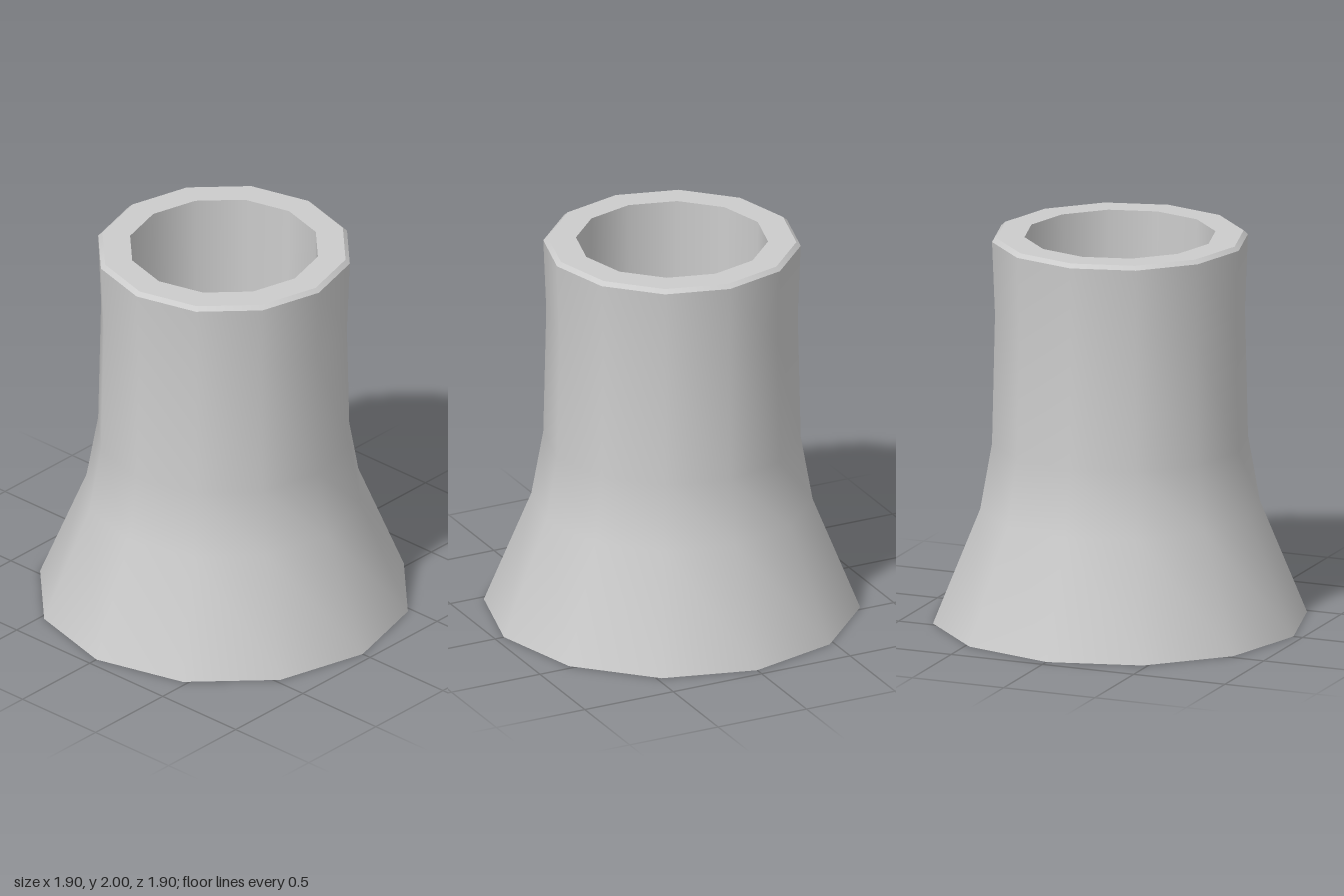
import * as THREE from 'three';

const SIDES = 12;

export function createModel() {
  const group = new THREE.Group();
  group.name = 'coolingTower';
  const material = new THREE.MeshStandardMaterial({ color: 0xcccccc });

  // Revolves one [radius, height] profile; separate parts keep creases sharp
  const addRing = (name, profile) => {
    const points = profile.map(([r, y]) => new THREE.Vector2(r, y));
    const mesh = new THREE.Mesh(new THREE.LatheGeometry(points, SIDES), material);
    mesh.name = name;
    group.add(mesh);
  };

  // Closed underside
  addRing('base', [[0, 0], [0.95, 0]]);
  // Flared, waisted outer shell
  addRing('outerShell', [[0.95, 0], [0.71, 0.59], [0.65, 0.93], [0.635, 1.6], [0.65, 1.98]]);
  // Bevelled edge and flat top of the rim
  addRing('rimBevel', [[0.65, 1.98], [0.628, 2]]);
  addRing('rimTop', [[0.628, 2], [0.485, 2]]);
  // Slightly tapered opening and its floor
  addRing('innerWall', [[0.485, 2], [0.47, 1]]);
  addRing('innerFloor', [[0.47, 1], [0, 1]]);

  return group;
}
